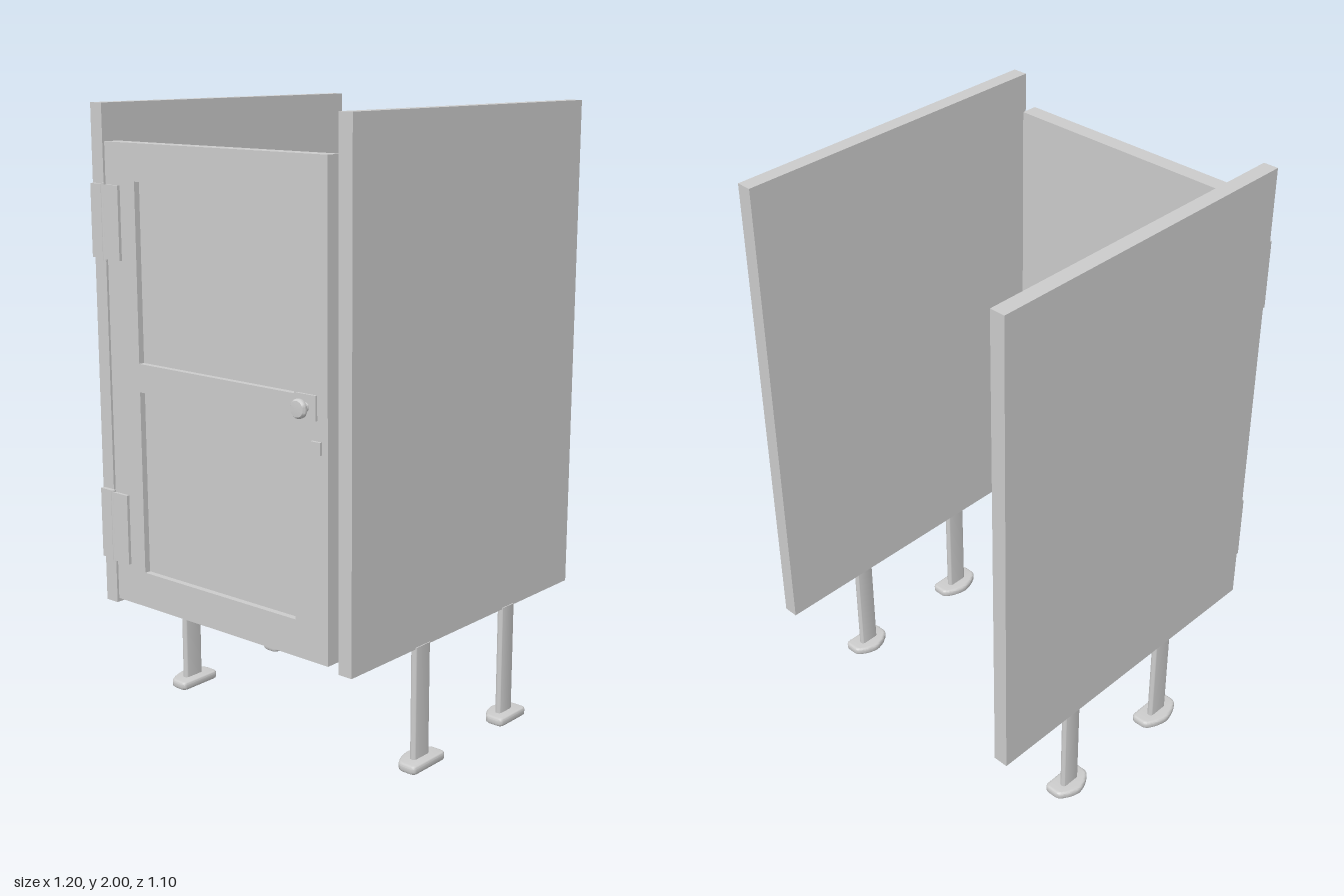
import * as THREE from 'three';
import { toCreasedNormals } from 'three/addons/utils/BufferGeometryUtils.js';

const material = new THREE.MeshStandardMaterial({ color: 0xcccccc });

function add(parent, name, geometry) {
  const mesh = new THREE.Mesh(geometry, material);
  mesh.name = name;
  parent.add(mesh);
  return mesh;
}

// Box given by its limits on each axis
function block(parent, name, [x0, x1], [y0, y1], [z0, z1]) {
  const mesh = add(parent, name, new THREE.BoxGeometry(x1 - x0, y1 - y0, z1 - z0));
  mesh.position.set((x0 + x1) / 2, (y0 + y1) / 2, (z0 + z1) / 2);
  return mesh;
}

function rectangle(target, x0, x1, y0, y1) {
  target.moveTo(x0, y0);
  target.lineTo(x1, y0);
  target.lineTo(x1, y1);
  target.lineTo(x0, y1);
  target.closePath();
  return target;
}

// Flat bar with rounded edges
function legShape(halfW, halfT) {
  const r = halfT * 0.95, s = new THREE.Shape();
  s.absarc(halfW - r, 0, r, -Math.PI / 2, Math.PI / 2);
  s.absarc(-halfW + r, 0, r, Math.PI / 2, Math.PI * 1.5);
  s.closePath();
  return s;
}

// Foot outline: straight outer side, domed inner side (shape y becomes -z)
function footShape(w) {
  const s = new THREE.Shape();
  s.moveTo(-w + 0.012, -0.036);
  s.lineTo(w - 0.012, -0.036);
  s.quadraticCurveTo(w, -0.036, w, -0.024);
  s.lineTo(w, 0.002);
  s.quadraticCurveTo(w, 0.016, w - 0.016, 0.024);
  s.quadraticCurveTo(w * 0.45, 0.039, 0, 0.043);
  s.quadraticCurveTo(-w * 0.45, 0.039, -w + 0.016, 0.024);
  s.quadraticCurveTo(-w, 0.016, -w, 0.002);
  s.lineTo(-w, -0.024);
  s.quadraticCurveTo(-w, -0.036, -w + 0.012, -0.036);
  return s;
}

function addLeg(parent, x, z, legHalf, footHalf) {
  const leg = new THREE.Group();
  leg.name = 'leg';
  leg.position.set(x, 0, z);
  parent.add(leg);

  const post = new THREE.ExtrudeGeometry(legShape(legHalf, 0.012), {
    depth: 0.375, bevelEnabled: false, curveSegments: 8,
  }).rotateX(-Math.PI / 2);
  add(leg, 'legPost', toCreasedNormals(post, 0.7)).position.y = 0.02;

  const b = 0.008;
  const foot = new THREE.ExtrudeGeometry(footShape(footHalf - b), {
    depth: 0.028 - 2 * b, bevelThickness: b, bevelSize: b, bevelSegments: 3, curveSegments: 6,
  }).rotateX(-Math.PI / 2);
  add(leg, 'foot', toCreasedNormals(foot, 0.7)).position.y = b;
}

function addDoor(parent) {
  const door = new THREE.Group();
  door.name = 'door';
  parent.add(door);

  // Board with a frame around two recessed fields on the outer side
  block(door, 'doorBoard', [-0.535, -0.5], [0.415, 1.885], [-0.464, 0.436]);
  const frame = rectangle(new THREE.Shape(), -0.464, 0.436, 0.415, 1.885);
  frame.holes.push(rectangle(new THREE.Path(), -0.335, 0.31, 1.21, 1.77));
  frame.holes.push(rectangle(new THREE.Path(), -0.335, 0.31, 0.53, 1.12));
  const frameGeometry = new THREE.ExtrudeGeometry(frame, { depth: 0.02, bevelEnabled: false });
  add(door, 'doorFrame', frameGeometry.rotateY(-Math.PI / 2)).position.x = -0.535;

  // Hinges
  for (const y of [0.66, 1.64]) {
    const hinge = new THREE.Group();
    hinge.name = 'hinge';
    door.add(hinge);
    block(hinge, 'wallLeaf', [-0.555, -0.54], [y - 0.115, y + 0.115], [-0.535, -0.468]);
    block(hinge, 'doorLeaf', [-0.565, -0.554], [y - 0.115, y + 0.115], [-0.468, -0.4]);
    add(hinge, 'hingePin', new THREE.CylinderGeometry(0.008, 0.008, 0.24, 12))
      .position.set(-0.559, y, -0.471);
  }

  // Knob on its plate
  block(door, 'knobPlate', [-0.563, -0.553], [1.142, 1.216], [0.323, 0.397]);
  const profile = [[0, 0], [0.014, 0], [0.011, 0.006], [0.011, 0.018], [0.024, 0.02],
    [0.029, 0.026], [0.029, 0.034], [0.024, 0.04], [0, 0.042]];
  const knob = new THREE.LatheGeometry(profile.map(([r, h]) => new THREE.Vector2(r, h)), 20);
  add(door, 'knob', toCreasedNormals(knob.rotateZ(Math.PI / 2), 0.7))
    .position.set(-0.562, 1.179, 0.36);

  // Small lock below the knob
  block(door, 'lock', [-0.564, -0.553], [1.045, 1.083], [0.378, 0.414]);
}

export function createModel() {
  const model = new THREE.Group();
  model.name = 'stall';

  // Side partitions
  block(model, 'frontPartition', [-0.535, 0.6], [0.39, 2], [0.458, 0.508]);
  block(model, 'backPartition', [-0.54, 0.596], [0.39, 2], [-0.54, -0.49]);

  // Legs under both partitions
  for (const z of [0.5, -0.5]) {
    addLeg(model, -0.198, z, 0.039, 0.082);
    addLeg(model, 0.256, z, 0.036, 0.073);
  }

  addDoor(model);
  return model;
}
